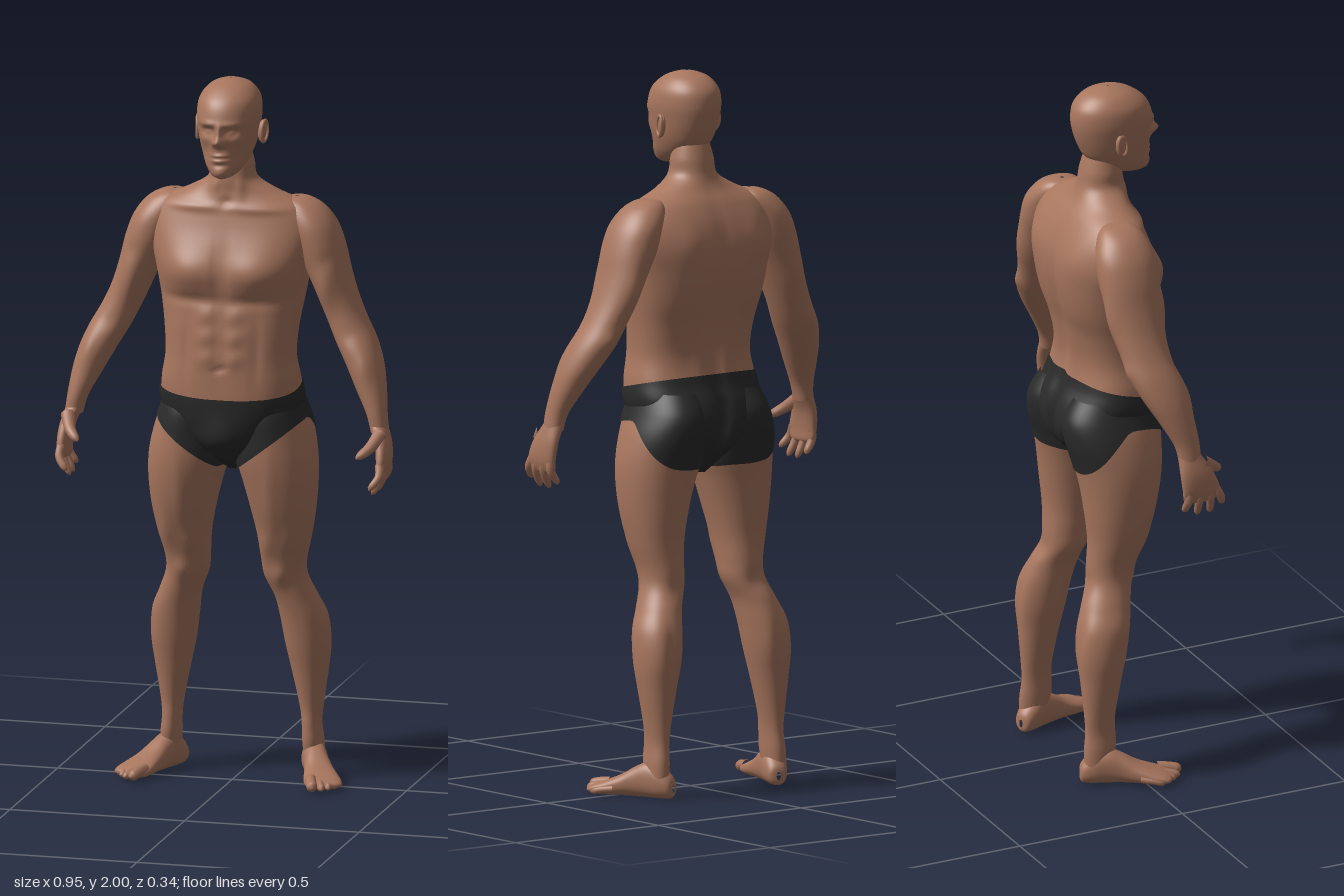
import * as THREE from 'three';
import { mergeGeometries, mergeVertices } from 'three/addons/utils/BufferGeometryUtils.js';

const skin = new THREE.MeshStandardMaterial({ color: 0xa8765e });
skin.name = 'skin';
const cloth = new THREE.MeshStandardMaterial({ color: 0x2a2a2b });
cloth.name = 'blackCloth';

const spow = (v, n) => Math.sign(v) * Math.pow(Math.abs(v), 2 / n);
const clamp = THREE.MathUtils.clamp;

// Smooth body surface through rows [y, xCentre, halfWidth, zFront, zBack, roundness].
// Muscles are soft bumps [x, y, side (+1 front, -1 back), rx, ry, height], mirrored in x.
function body(rows, bumps = [], grow = 0) {
  const last = rows.length - 1;
  const P = (t, a) => {
    const f = clamp(t, 0, 1) * last, i = Math.min(Math.floor(f), last - 1), u = f - i;
    const [p, q, r, s] = [-1, 0, 1, 2].map(k => rows[clamp(i + k, 0, last)]);
    const [y, xc, hw, zf, zb, n] = [0, 1, 2, 3, 4, 5].map(k => {
      const [A, B, C, D] = [p, q, r, s].map(w => w[k] ?? 2.1);
      return B + 0.5 * u * (C - A + u * (2 * A - 5 * B + 4 * C - D + u * (3 * (B - C) + D - A)));
    });
    const c = Math.cos(a), sn = Math.sin(a);
    const x = xc + (hw + grow) * spow(c, n);
    let z = (zf + zb) / 2 + ((zf - zb) / 2 + grow) * spow(sn, n);
    for (const [bx, by, side, rx, ry, h] of bumps) {
      const w = Math.sqrt(Math.max(0, side * sn));
      z += side * h * w * Math.exp(-(((Math.abs(x) - bx) / rx) ** 2) - ((y - by) / ry) ** 2);
    }
    return new THREE.Vector3(x, y, z);
  };
  P.rows = last;
  return P;
}

// Height along each column where the surface crosses the line y = edge(x, z)
const cut = (P, edge, shift = 0) => a => {
  let lo = 0, hi = 1;
  for (let k = 0; k < 22; k++) {
    const m = (lo + hi) / 2, p = P(m, a);
    if (p.y < edge(Math.abs(p.x), p.z)) lo = m; else hi = m;
  }
  return clamp(lo + shift, 0, 1);
};

// Closed grid over a body surface, between two limits
function skinOver(P, cols, perRow, from = () => 0, to = () => 1) {
  const pos = [], idx = [], steps = P.rows * perRow;
  const lim = Array.from({ length: cols }, (_, j) => {
    const a = j / cols * Math.PI * 2;
    return [a, from(a), to(a)];
  });
  for (let i = 0; i <= steps; i++)
    for (const [a, t0, t1] of lim) pos.push(...P(t0 + (t1 - t0) * i / steps, a).toArray());
  for (let i = 0; i < steps; i++)
    for (let j = 0; j < cols; j++) {
      const a = i * cols + j, b = i * cols + (j + 1) % cols;
      idx.push(a, a + cols, b, b, a + cols, b + cols);
    }
  const g = new THREE.BufferGeometry();
  g.setAttribute('position', new THREE.Float32BufferAttribute(pos, 3));
  g.setIndex(idx);
  g.computeVertexNormals();
  return g;
}

// Tapered round-ended tube for fingers and toes
function digit(points, r0, r1) {
  const curve = new THREE.CatmullRomCurve3(points.map(p => new THREE.Vector3(...p)));
  const n = 16, g = new THREE.TubeGeometry(curve, n, 1, 10);
  const pos = g.attributes.position, v = new THREE.Vector3();
  for (let i = 0; i <= n; i++) {
    const t = i / n, c = curve.getPointAt(t), e = Math.max(0, (t - 0.75) / 0.25);
    const r = (r0 + (r1 - r0) * t) * Math.sqrt(Math.max(0, 1 - e * e)) + 1e-4;
    for (let j = 0; j <= 10; j++) {
      v.fromBufferAttribute(pos, i * 11 + j).sub(c).multiplyScalar(r).add(c);
      pos.setXYZ(i * 11 + j, v.x, v.y, v.z);
    }
  }
  g.deleteAttribute('uv');
  g.deleteAttribute('normal');
  const m = mergeVertices(g, 1e-6);
  m.computeVertexNormals();
  return m;
}

function mirrored(geo) {
  const g = geo.clone().applyMatrix4(new THREE.Matrix4().makeScale(-1, 1, 1));
  const ix = g.index.array;
  for (let i = 0; i < ix.length; i += 3) [ix[i + 1], ix[i + 2]] = [ix[i + 2], ix[i + 1]];
  g.computeVertexNormals();
  return g;
}

const TORSO = [
  [.885, 0, .01, .0, -.06, 2], [.92, 0, .05, .06, -.10, 2], [.97, 0, .11, .112, -.145, 2.2],
  [1.03, 0, .172, .127, -.155, 2.3], [1.09, 0, .196, .133, -.147, 2.4], [1.15, 0, .193, .133, -.122, 2.5],
  [1.22, 0, .182, .131, -.112, 2.5], [1.3, 0, .187, .126, -.125, 2.5], [1.38, 0, .2, .117, -.148, 2.5],
  [1.46, 0, .215, .12, -.162, 2.5], [1.53, 0, .232, .105, -.16, 2.5], [1.59, 0, .235, .084, -.143, 2.4],
  [1.64, 0, .208, .068, -.118, 2.2], [1.68, 0, .125, .056, -.09, 2], [1.715, 0, .07, .055, -.075, 2],
  [1.76, 0, .061, .05, -.066, 2], [1.8, 0, .05, .04, -.055, 2]];
const TORSO_BUMPS = [
  [.1, 1.47, 1, .085, .06, .024], [0, 1.47, 1, .012, .08, -.007], [.1, 1.385, 1, .1, .016, -.007],
  [.04, 1.345, 1, .024, .024, .007], [.04, 1.285, 1, .024, .024, .007], [.04, 1.225, 1, .024, .024, .006],
  [0, 1.26, 1, .01, .12, -.004], [0, 1.195, 1, .008, .009, -.008], [.1, 1.25, 1, .014, .1, -.005],
  [.1, 1.64, 1, .09, .012, .007], [.038, 1.7, 1, .014, .035, .005], [0, 1.655, 1, .014, .014, -.008],
  [0, 1.36, -1, .02, .2, -.015], [.12, 1.54, -1, .05, .07, .009], [.045, 1.22, -1, .03, .1, .008],
  [.13, 1.4, -1, .05, .08, .005], [.09, 1.03, -1, .07, .06, .012], [0, 1.02, -1, .015, .08, -.022],
  [0, 1.0, 1, .05, .05, .012]];

const LEG = [
  [.05, .205, .028, -.075, -.155], [.1, .203, .029, -.062, -.155], [.15, .2, .027, -.062, -.15],
  [.2, .199, .032, -.062, -.152], [.3, .196, .05, -.045, -.16], [.38, .192, .063, -.028, -.166],
  [.46, .183, .066, -.014, -.158], [.52, .165, .059, -.002, -.14], [.58, .141, .06, .013, -.118],
  [.63, .138, .063, .028, -.112], [.7, .143, .075, .052, -.11], [.78, .142, .09, .08, -.118],
  [.86, .135, .104, .098, -.128], [.93, .124, .113, .108, -.142], [1.0, .117, .106, .11, -.162],
  [1.06, .108, .094, .108, -.163], [1.12, .1, .08, .09, -.13]];
const LEG_BUMPS = [
  [.14, .59, 1, .026, .028, .009], [.1, .68, 1, .024, .035, .008], [.185, .7, 1, .022, .05, .007],
  [.155, .42, -1, .022, .07, .006], [.225, .43, -1, .022, .07, .005], [.19, .4, -1, .01, .08, -.003],
  [.14, .57, -1, .03, .03, -.006], [.13, .85, 1, .02, .12, .004]];

const ARM = [
  [1.03, .438, .025, .085, .022], [1.08, .428, .029, .085, .012], [1.15, .405, .043, .078, -.025],
  [1.21, .382, .052, .07, -.06], [1.27, .353, .057, .058, -.088], [1.33, .322, .055, .042, -.1],
  [1.39, .295, .055, .04, -.112], [1.46, .268, .06, .045, -.12], [1.53, .243, .068, .05, -.128],
  [1.59, .222, .066, .045, -.125], [1.635, .195, .058, .025, -.105], [1.658, .18, .032, .0, -.08],
  [1.663, .175, .004, -.035, -.045]];
const ARM_BUMPS = [
  [.275, 1.42, 1, .03, .06, .01], [.29, 1.44, -1, .03, .06, .008], [.28, 1.5, 1, .02, .02, -.004],
  [.345, 1.29, 1, .03, .025, -.005], [.4, 1.22, 1, .025, .05, .006], [.35, 1.29, -1, .015, .02, .006]];

const HEAD = [
  [1.735, 0, .012, .12, .08], [1.745, 0, .035, .133, .03], [1.77, 0, .055, .137, -.02],
  [1.8, 0, .068, .136, -.055], [1.83, 0, .077, .137, -.072], [1.87, 0, .084, .142, -.086],
  [1.91, 0, .088, .142, -.092], [1.95, 0, .082, .125, -.085], [1.98, 0, .06, .088, -.057],
  [1.995, 0, .03, .05, -.02], [2, 0, .002, .018, .012]];
const HEAD_BUMPS = [
  [0, 1.845, 1, .015, .013, .027], [0, 1.868, 1, .009, .022, .015], [.014, 1.84, 1, .007, .008, .006],
  [.033, 1.872, 1, .019, .013, -.015], [.033, 1.87, 1, .011, .007, .008], [.035, 1.893, 1, .03, .009, .007],
  [.055, 1.845, 1, .018, .016, .005], [0, 1.803, 1, .022, .006, .006], [0, 1.79, 1, .02, .006, .006],
  [0, 1.797, 1, .026, .004, -.004], [0, 1.776, 1, .025, .006, -.004], [0, 1.755, 1, .022, .014, .005],
  [.045, 1.81, 1, .014, .025, -.005]];

export function createModel() {
  const model = new THREE.Group();
  model.name = 'standingMan';
  const add = (name, geo, mat, parent = model) => {
    const m = new THREE.Mesh(geo, mat);
    m.name = name;
    parent.add(m);
  };
  const pair = (name, geo, mat) => {
    add('left' + name, geo, mat);
    add('right' + name, mirrored(geo), mat);
  };

  // Edges of the briefs: waistline and leg openings
  const waist = (x, z) => 1.14 - 0.22 * z;
  const opening = (x, z) => 0.9 + Math.max(0, x - 0.03) * 0.78 * clamp((z + 0.16) / 0.14, 0.15, 1);

  // Torso with neck, and the pelvis of the briefs
  const torso = body(TORSO, TORSO_BUMPS), pelvis = body(TORSO, TORSO_BUMPS, .004);
  add('torso', skinOver(torso, 96, 6, cut(torso, waist, -.01)), skin);
  add('briefsPelvis', skinOver(pelvis, 96, 3, undefined, cut(pelvis, waist)), cloth);

  // Legs and the sides of the briefs over the thighs
  const leg = body(LEG, LEG_BUMPS), thigh = body(LEG, LEG_BUMPS, .004);
  pair('Leg', skinOver(leg, 56, 5, undefined, cut(leg, opening, .01)), skin);
  pair('BriefsSide', skinOver(thigh, 56, 2, cut(thigh, opening)), cloth);

  // Feet: rows run from heel to ball, then turned to lie flat and point outwards
  const sole = skinOver(body([
    [-.056, 0, .006, -.018, -.04], [-.05, 0, .024, -.003, -.06], [-.02, 0, .033, 0, -.088, 2.3],
    [.02, 0, .034, 0, -.1, 2.3], [.06, 0, .036, 0, -.085, 2.3], [.1, .002, .042, 0, -.062, 2.3],
    [.14, .003, .05, 0, -.045, 2.4], [.175, .005, .051, -.001, -.033, 2.4], [.195, .006, .04, -.006, -.024],
    [.2, .006, .01, -.012, -.018]]), 40, 4).rotateX(Math.PI / 2);
  const toes = [[-.032, .229, .0155], [-.006, .224, .011], [.015, .212, .0105], [.034, .198, .01], [.049, .181, .0095]]
    .map(([x, tip, r]) => digit([[x * .9, r + .012, tip - .07], [x, r + .007, tip - .03], [x, r, tip]], r, r));
  const foot = mergeGeometries([sole, ...toes]).rotateY(.384).translate(.205, 0, -.11);
  pair('Foot', foot, skin);

  // Arms
  pair('Arm', skinOver(body(ARM, ARM_BUMPS), 48, 5), skin);

  // Hands: palm, four fingers and thumb
  const palm = skinOver(body([
    [.908, .452, .003, .1, .06], [.918, .453, .012, .128, .03], [.95, .457, .017, .134, .024, 2.4],
    [1.0, .452, .02, .115, .019, 2.3], [1.05, .434, .025, .085, .02]]), 32, 5);
  const fingers = [[.12, .155, .885], [.095, .117, .864], [.068, .077, .864], [.043, .037, .88]]
    .map(([z0, z1, y]) => digit([[.456, .95, z0], [.457, .92, (z0 + z1) / 2], [.432, y, z1]], .0135, .0095));
  const thumb = digit([[.447, 1.03, .085], [.428, .998, .13], [.398, .974, .163]], .02, .011);
  pair('Hand', mergeGeometries([palm, ...fingers, thumb]), skin);

  // Head and ears
  add('head', skinOver(body(HEAD, HEAD_BUMPS), 112, 8), skin);
  const lobe = new THREE.SphereGeometry(1, 20, 14).scale(.009, .032, .018);
  const rim = new THREE.TorusGeometry(.022, .005, 8, 24).scale(.75, 1.3, 1).rotateY(Math.PI / 2).translate(.006, 0, 0);
  pair('Ear', mergeGeometries([lobe, rim]).rotateX(-.15).rotateY(-.3).translate(.09, 1.853, .012), skin);

  return model;
}
